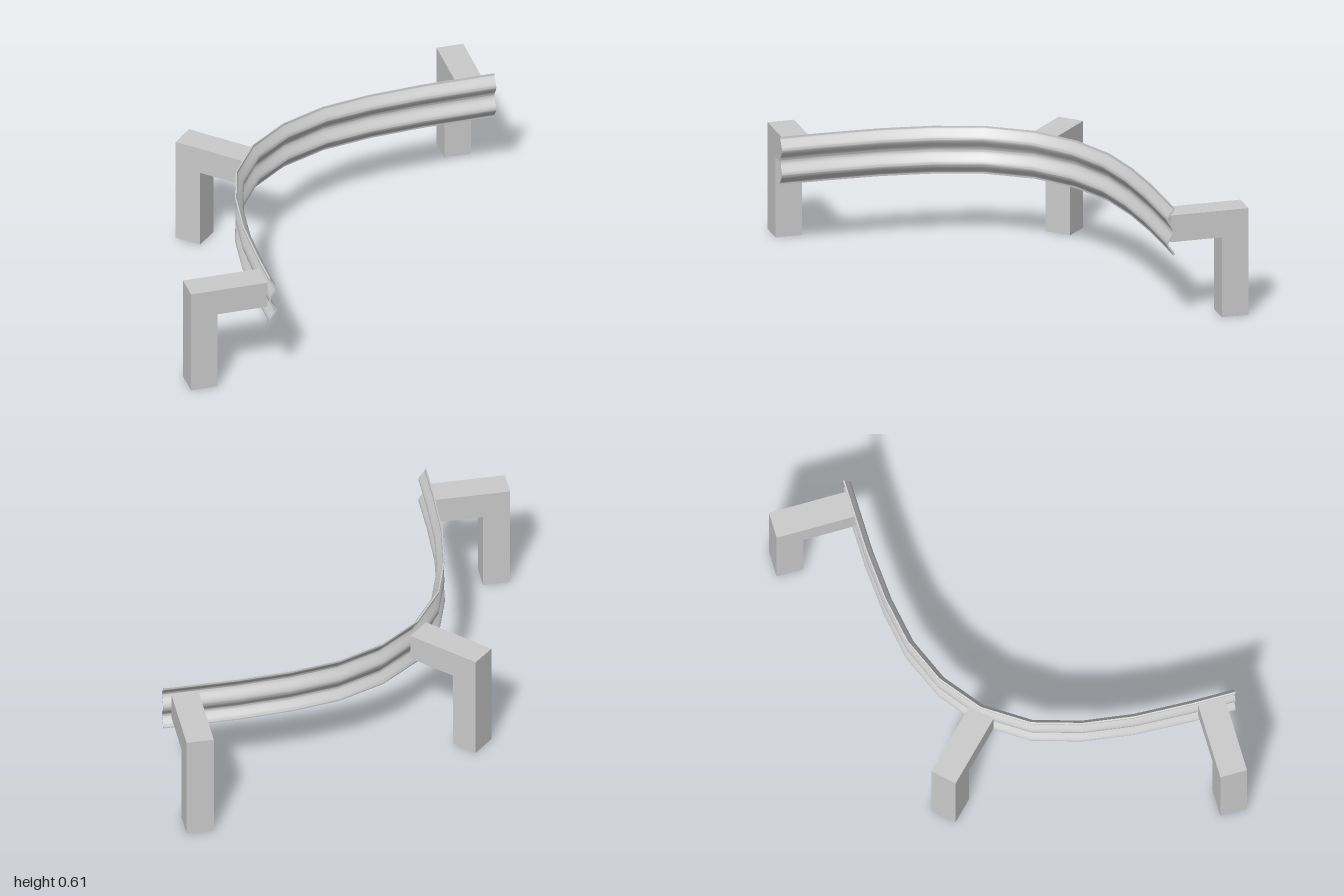
import * as THREE from 'three';
import { toCreasedNormals } from 'three/addons/utils/BufferGeometryUtils.js';

const material = new THREE.MeshStandardMaterial({ color: 0xcccccc });

// Plan of the rail's outer edge, as (x, z)
const PATH = [
  [-0.617, 0.972], [-0.615, 0.75], [-0.602, 0.457], [-0.564, 0.2], [-0.489, -0.045], [-0.34, -0.265],
  [-0.136, -0.42], [0.099, -0.516], [0.35, -0.559], [0.628, -0.578], [1, -0.581],
].map(([x, z]) => new THREE.Vector2(x, z));

// Double-ridged section, top to bottom, as (inward offset, y)
const SECTION = [
  [0.006, 0.61], [0.009, 0.597], [0.036, 0.56], [0.036, 0.54], [0.011, 0.5],
  [0.011, 0.473], [0.036, 0.433], [0.036, 0.413], [0.009, 0.376], [0.006, 0.363],
].map(([u, y]) => new THREE.Vector2(u, y));

function railGeometry() {
  const curve = new THREE.SplineCurve(SECTION);
  const steps = 36, half = 0.004;
  const front = [], back = [];
  for (let k = 0; k <= steps; k++) {
    const p = curve.getPoint(k / steps), t = curve.getTangent(k / steps);
    const n = new THREE.Vector2(-t.y, t.x).multiplyScalar(half);
    front.push(p.clone().add(n));
    back.push(p.clone().sub(n));
  }
  const loop = [...front, ...back.reverse()], m = loop.length;

  // Sweep the closed section along the path with mitred corners
  const positions = [], indices = [];
  PATH.forEach((p, i) => {
    const a = PATH[Math.max(i - 1, 0)], b = PATH[Math.min(i + 1, PATH.length - 1)];
    const before = p.clone().sub(a).normalize(), after = b.clone().sub(p).normalize();
    const t = before.clone().add(after).normalize();
    const mitre = 1 / t.dot(i ? before : after);
    for (const s of loop) positions.push(p.x - t.y * s.x * mitre, s.y, p.y + t.x * s.x * mitre);
  });
  for (let i = 0; i < PATH.length - 1; i++) {
    for (let k = 0; k < m; k++) {
      const a = i * m + k, b = i * m + (k + 1) % m;
      indices.push(a, b, a + m, b, b + m, a + m);
    }
  }
  // End caps
  const last = (PATH.length - 1) * m;
  for (let k = 0; k < steps; k++) {
    const f = k, g = k + 1, c = m - 1 - k, d = m - 2 - k;
    indices.push(f, c, g, g, c, d);
    indices.push(last + f, last + g, last + c, last + g, last + d, last + c);
  }
  const geometry = new THREE.BufferGeometry();
  geometry.setAttribute('position', new THREE.Float32BufferAttribute(positions, 3));
  geometry.setIndex(indices);
  return toCreasedNormals(geometry, 0.9);
}

// L-shaped support: upright at the outer end, arm reaching to the rail
function supportGeometry(length) {
  const width = 0.137, top = 0.556, under = 0.417;
  const shape = new THREE.Shape([
    [0, 0], [width, 0], [width, under], [length, under], [length, top], [0, top],
  ].map(([x, y]) => new THREE.Vector2(x, y)));
  const geometry = new THREE.ExtrudeGeometry(shape, { depth: width, bevelEnabled: false });
  return geometry.translate(0, 0, -width / 2);
}

export function createModel() {
  const group = new THREE.Group();

  const rail = new THREE.Mesh(railGeometry(), material);
  rail.name = 'curvedRail';
  group.add(rail);

  // Supports: outer end (x, z), heading, arm length
  const supports = [
    ['rightSupport', -1, 0.85, 0, 0.395],
    ['middleSupport', -0.618, -0.532, -Math.PI / 4, 0.39],
    ['leftSupport', 0.889, -0.972, -Math.PI / 2, 0.4],
  ];
  for (const [name, x, z, angle, length] of supports) {
    const support = new THREE.Mesh(supportGeometry(length), material);
    support.name = name;
    support.position.set(x, 0, z);
    support.rotation.y = angle;
    group.add(support);
  }
  return group;
}
